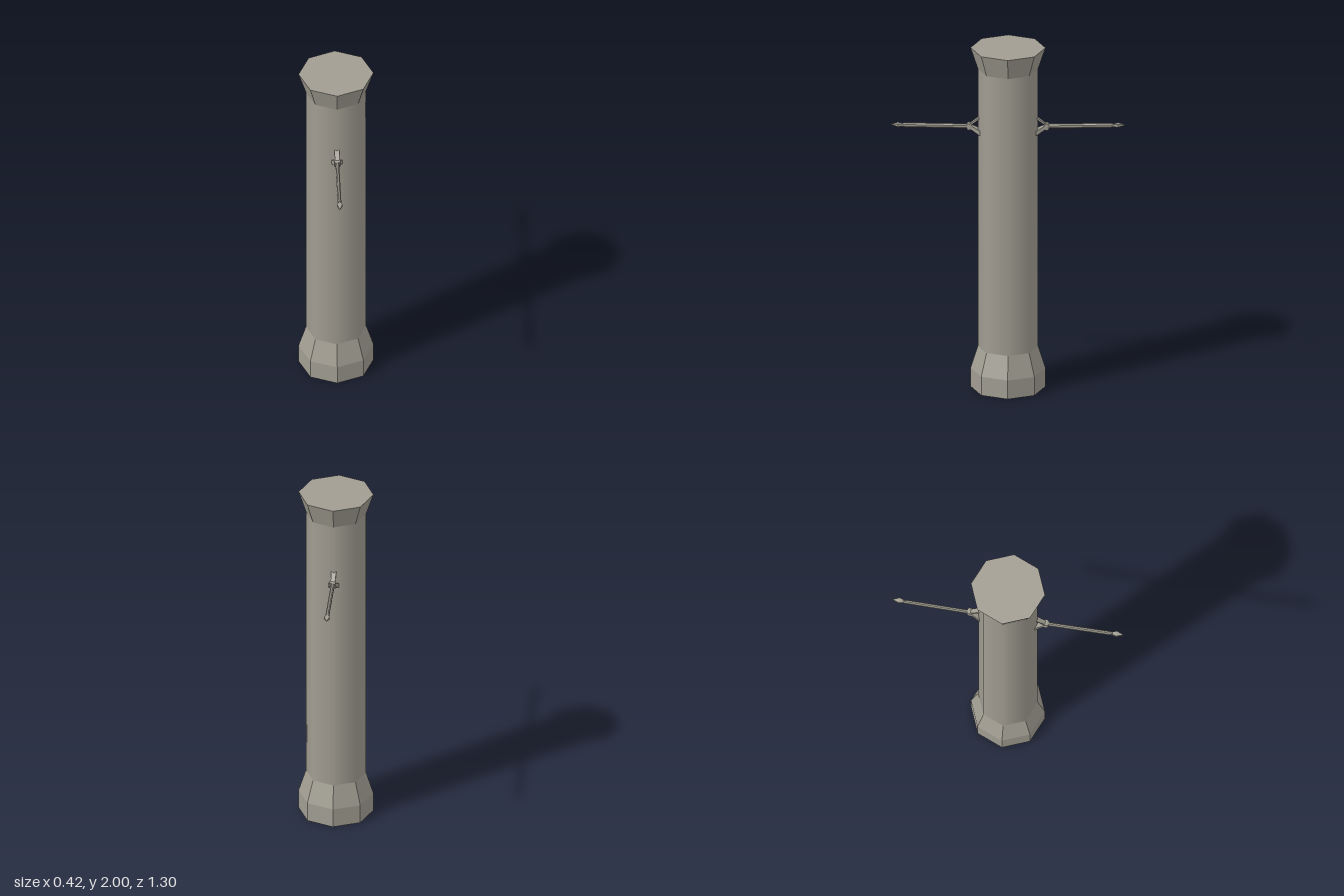
import * as THREE from 'three';
import { ConvexGeometry } from 'three/addons/geometries/ConvexGeometry.js';

// Faceted copy of a geometry
function flat(geometry) {
  const g = geometry.index ? geometry.toNonIndexed() : geometry;
  g.computeVertexNormals();
  return g;
}

// Convex solid through elliptical rings [z, y, halfWidth, halfHeight]; sides = corners per ring
function solid(rings, sides = 4, turn = Math.PI / 4) {
  const k = sides === 4 ? Math.SQRT2 : 1;
  const points = [];
  for (const [z, y, w, h] of rings) {
    for (let i = 0; i < sides; i++) {
      const a = turn + (i / sides) * Math.PI * 2;
      points.push(new THREE.Vector3(Math.cos(a) * w * k, y + Math.sin(a) * h * k, z));
    }
  }
  return flat(new ConvexGeometry(points));
}

export function createModel() {
  const stone = new THREE.MeshStandardMaterial({ color: 0xa19d92 });
  stone.name = 'warm grey stone';

  const model = new THREE.Group();
  model.name = 'column';
  const add = (parent, name, geometry) => {
    const mesh = new THREE.Mesh(geometry, stone);
    mesh.name = name;
    parent.add(mesh);
    return mesh;
  };
  const drum = (name, top, bottom, y0, y1) =>
    add(model, name, flat(new THREE.CylinderGeometry(top, bottom, y1 - y0, 8).translate(0, (y0 + y1) / 2, 0)));

  // Octagonal plinth, flared foot and flared capital
  drum('plinth', 0.208, 0.208, 0, 0.11);
  drum('foot', 0.167, 0.208, 0.11, 0.24);
  drum('capital', 0.208, 0.167, 1.875, 2);

  // Eight-sided shaft with smooth shading
  add(model, 'shaft', new THREE.CylinderGeometry(0.167, 0.167, 1.635, 8, 1, true).translate(0, 1.0575, 0));

  // Banner poles on the front and the back
  for (const [side, angle] of [['front', 0], ['back', Math.PI]]) {
    const pole = new THREE.Group();
    pole.name = side + 'Pole';
    pole.rotation.y = angle;
    model.add(pole);

    // Bracket: thin upper prong, broad lower prong and a collar
    add(pole, 'upperProng', solid([[0.158, 1.588, 0.015, 0.006], [0.21, 1.548, 0.012, 0.006]]));
    add(pole, 'lowerProng', solid([[0.155, 1.502, 0.03, 0.014], [0.21, 1.535, 0.014, 0.011]]));
    add(pole, 'collar', solid([[0.2, 1.537, 0.018, 0.016], [0.218, 1.537, 0.018, 0.019], [0.228, 1.537, 0.012, 0.015]]));

    // Rod with a tapered end
    add(pole, 'rod', solid([[0.22, 1.537, 0.011, 0.014], [0.57, 1.543, 0.011, 0.014], [0.59, 1.543, 0.008, 0.009]], 8, Math.PI / 8));

    // Flat leaf-shaped point
    add(pole, 'point', solid([[0.585, 1.543, 0.007, 0.007], [0.61, 1.545, 0.015, 0.009], [0.648, 1.546, 0.001, 0.002]], 4, 0 + Math.PI / 4));
  }
  return model;
}
